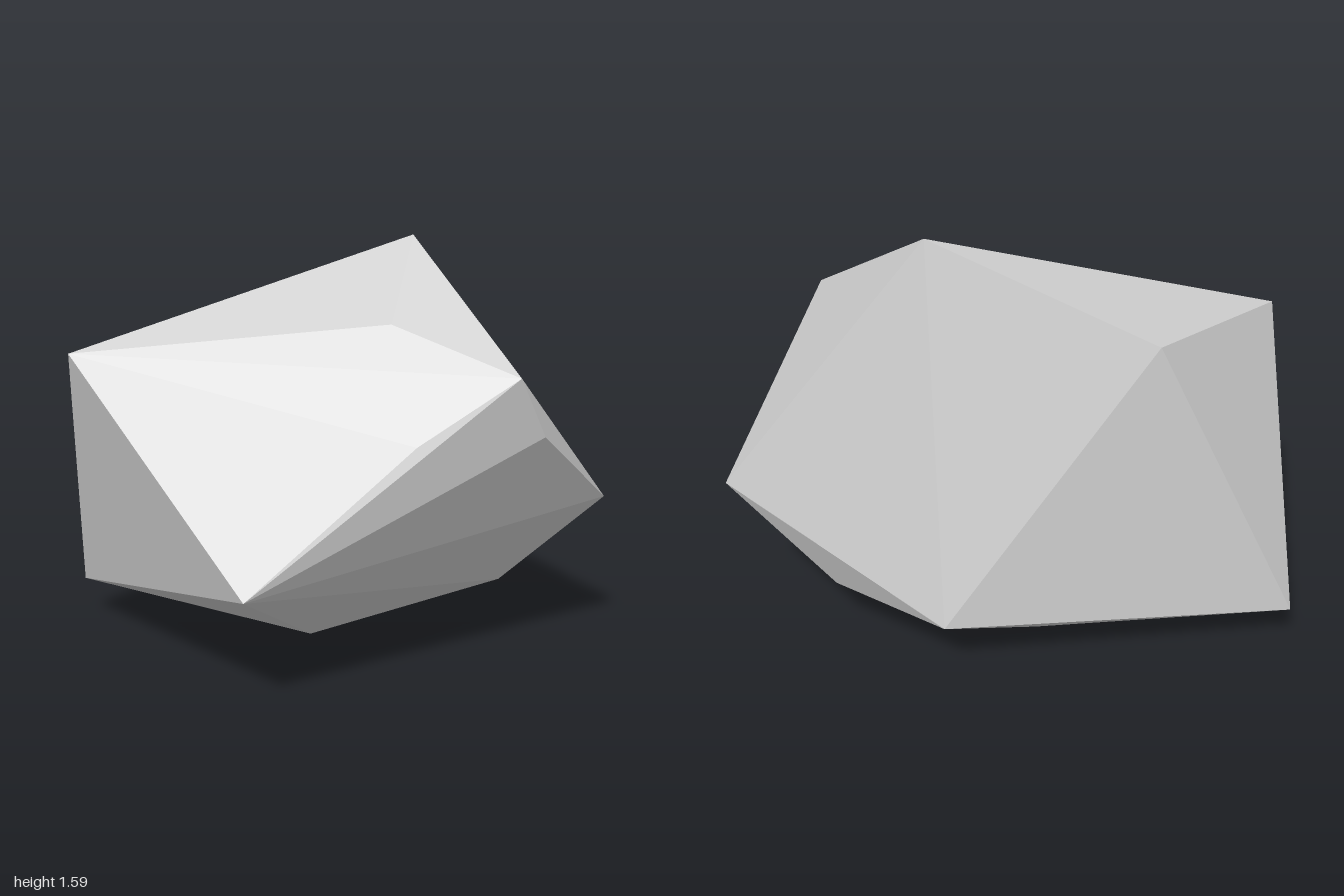
import * as THREE from 'three';
import { ConvexGeometry } from 'three/addons/geometries/ConvexGeometry.js';

export function createModel() {
  const model = new THREE.Group();
  model.name = 'rock';

  const stoneGrey = new THREE.MeshStandardMaterial({ color: 0xcccccc });
  stoneGrey.name = 'stoneGrey';

  // Corners of the faceted boulder; its faces are their convex hull
  const corners = [
    [0.28, 1.59, -0.23], // peak
    [-0.97, 1.195, -0.07], // upper right shoulder
    [-0.48, 1.25, -0.455], // upper back
    [0.61, 1.19, 0.33], // upper left shoulder
    [0.18, 1.33, 0.10], // slight bulge below the peak
    [0.25, 0.97, 0.40], // slight bulge on the front slope
    [0.71, 0.96, 0.26], // chipped left edge
    [1.0, 0.62, -0.10], // left tip
    [-0.345, 0.475, 0.56], // front tip
    [0.63, 0.24, -0.235], // lower left
    [0.27, 0.24, -0.56], // lower back
    [-1.0, 0.16, -0.515], // right tip
    [-0.10, 0, -0.285], // foot
  ].map(([x, y, z]) => new THREE.Vector3(x, y, z));

  // The hull carries one normal per face, so every facet stays flat
  const boulder = new THREE.Mesh(new ConvexGeometry(corners), stoneGrey);
  boulder.name = 'boulder';
  model.add(boulder);
  return model;
}
